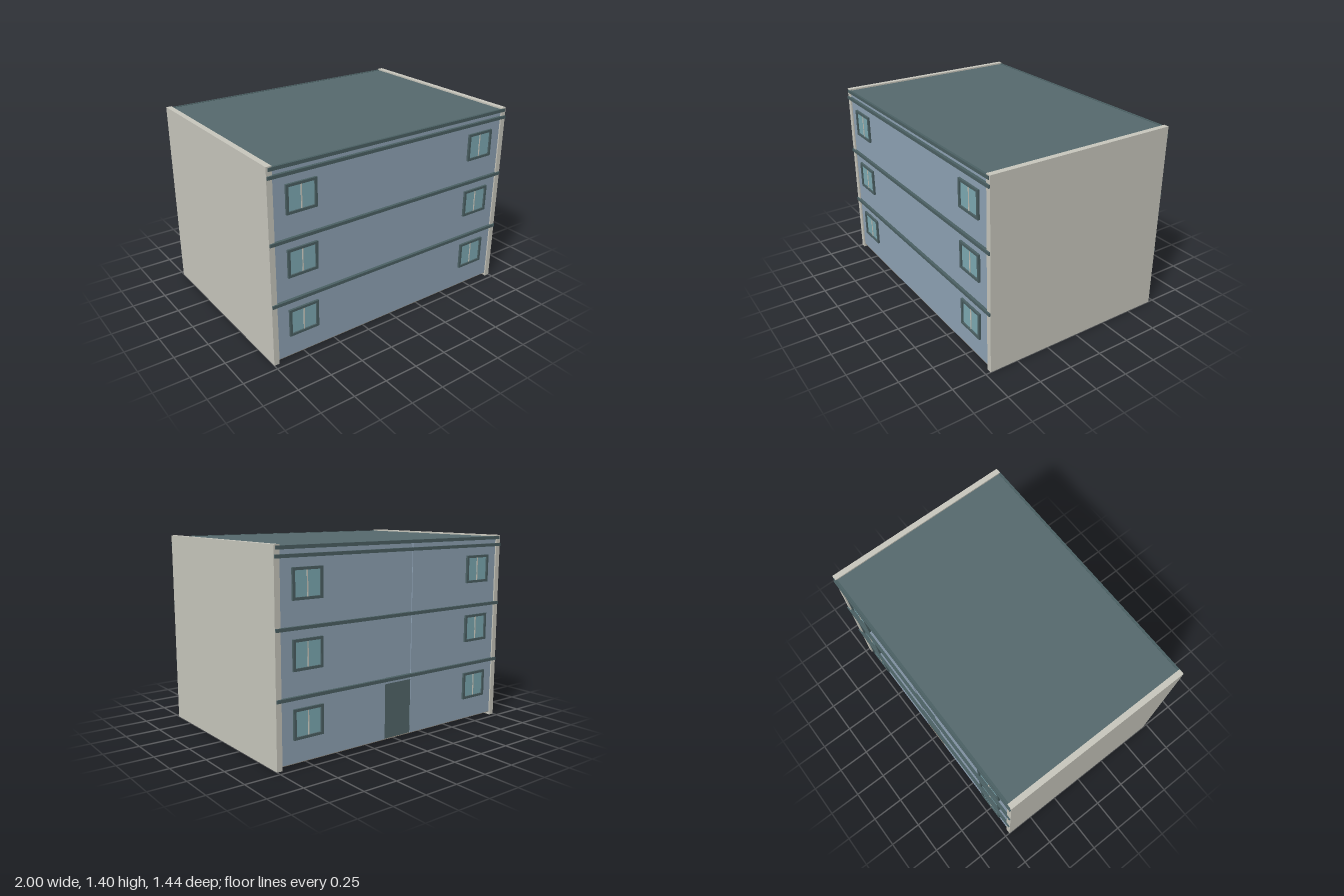
import * as THREE from 'three';

const mat = (name, color) => new THREE.MeshStandardMaterial({ name, color });

export function createModel() {
  const model = new THREE.Group();
  model.name = 'apartmentBlock';

  const concrete = mat('paleConcrete', 0xc9c8be);
  const render = mat('blueRender', 0x90a4b6);
  const trim = mat('darkTealTrim', 0x4c6164);
  const roofing = mat('roofTeal', 0x566a6e);
  const glass = mat('windowGlass', 0x7eabb4);
  const doorPaint = mat('doorPaint', 0x54686b);
  const underside = mat('undersideBrown', 0x8f887b);

  // Box given by its minimum and maximum on each axis
  const box = (parent, name, material, [x0, x1], [y0, y1], [z0, z1]) => {
    const mesh = new THREE.Mesh(new THREE.BoxGeometry(x1 - x0, y1 - y0, z1 - z0), material);
    mesh.position.set((x0 + x1) / 2, (y0 + y1) / 2, (z0 + z1) / 2);
    mesh.name = name;
    parent.add(mesh);
    return mesh;
  };

  const halfWidth = 0.96, bottom = 0.025, roofY = 1.386;
  const faceZ = 0.702, recessZ = 0.696, stairHalf = 0.118;

  // Main body, roof and floor
  box(model, 'body', render, [-halfWidth, halfWidth], [bottom, 1.38], [-recessZ, faceZ]);
  box(model, 'roof', roofing, [-halfWidth, halfWidth], [1.38, roofY], [-0.708, 0.708]);
  box(model, 'floor', underside, [-halfWidth, halfWidth], [bottom - 0.004, bottom], [-faceZ, faceZ]);

  // Gable walls, slightly taller and deeper than the body
  for (const s of [-1, 1]) {
    const x = [s * halfWidth, s].sort((a, b) => a - b);
    box(model, 'gableWall', concrete, x, [0, 1.397], [-0.712, 0.712]);
  }

  // Back facade panels on both sides of the shallow stairwell recess
  box(model, 'backPanel', render, [-halfWidth, -stairHalf], [bottom, 1.38], [-faceZ, -recessZ]);
  box(model, 'backPanel', render, [stairHalf, halfWidth], [bottom, 1.38], [-faceZ, -recessZ]);
  box(model, 'entranceDoor', doorPaint, [-stairHalf, stairHalf], [bottom, 0.415], [-recessZ - 0.002, -recessZ]);

  // One window with frame, glass and centre mullion, facing +z
  const w = 0.225, h = 0.2, bar = 0.018;
  const frameShape = new THREE.Shape();
  frameShape.moveTo(-w / 2, -h / 2).lineTo(w / 2, -h / 2).lineTo(w / 2, h / 2).lineTo(-w / 2, h / 2).closePath();
  const hole = new THREE.Path();
  const hx = w / 2 - bar, hy = h / 2 - bar;
  hole.moveTo(-hx, -hy).lineTo(-hx, hy).lineTo(hx, hy).lineTo(hx, -hy).closePath();
  frameShape.holes.push(hole);
  const frameGeometry = new THREE.ExtrudeGeometry(frameShape, { depth: 0.015, bevelEnabled: false });
  const makeWindow = () => {
    const group = new THREE.Group();
    group.name = 'window';
    const frame = new THREE.Mesh(frameGeometry, trim);
    frame.name = 'windowFrame';
    group.add(frame);
    box(group, 'windowGlass', glass, [-hx, hx], [-hy, hy], [0, 0.005]);
    box(group, 'windowMullion', concrete, [-0.004, 0.004], [-hy, hy], [0, 0.009]);
    return group;
  };

  // Both long sides: string courses, cornice and windows
  for (const side of [1, -1]) {
    const facade = new THREE.Group();
    facade.name = side > 0 ? 'frontDetails' : 'backDetails';
    facade.rotation.y = side > 0 ? 0 : Math.PI;
    for (const y of [0.448, 0.886, 1.326]) {
      box(facade, 'stringCourse', trim, [-0.997, 0.997], [y - 0.011, y + 0.011], [0.69, 0.722]);
    }
    box(facade, 'cornice', trim, [-0.988, 0.988], [1.366, 1.389], [0.7, 0.717]);
    for (let storey = 0; storey < 3; storey++) {
      for (const x of [-0.76, 0.76]) {
        const win = makeWindow();
        win.position.set(x, 0.278 + storey * 0.439, faceZ);
        facade.add(win);
      }
    }
    model.add(facade);
  }

  return model;
}
